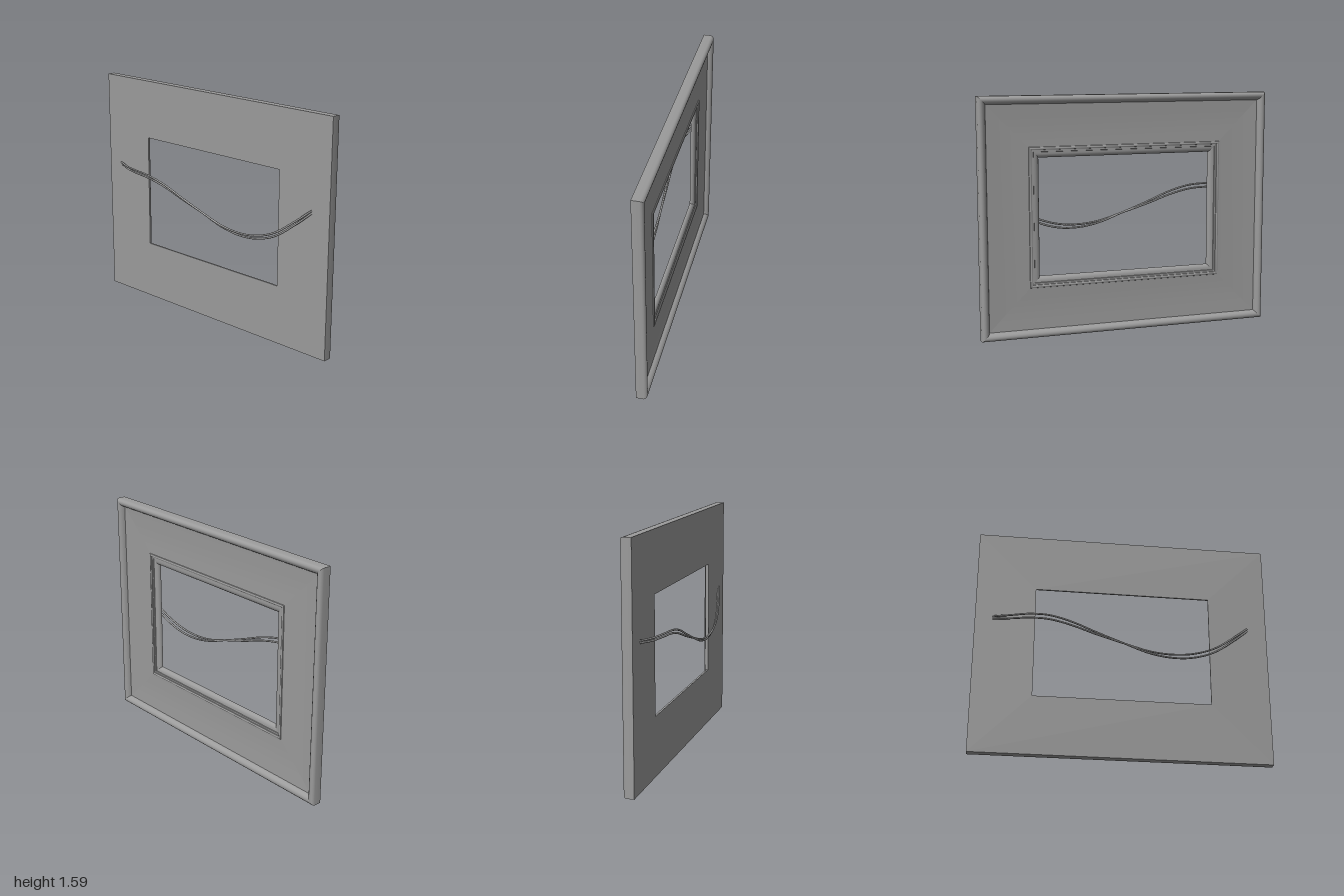
import * as THREE from 'three';
import { toCreasedNormals } from 'three/addons/utils/BufferGeometryUtils.js';

const HEIGHT = 1.59;

// Moulding section: [distance inward from the outer edge, depth x]
const PROFILE = [
  [0, 0.01], [0, 0.062],
  // rounded outer lip
  [0.003, 0.073], [0.011, 0.081], [0.022, 0.084], [0.034, 0.081], [0.044, 0.073], [0.051, 0.061], [0.054, 0.05],
  // gently scooped panel
  [0.12, 0.047], [0.19, 0.045], [0.26, 0.045], [0.331, 0.047],
  // inner bead, groove and sloped rim
  [0.333, 0.052], [0.338, 0.055], [0.344, 0.055], [0.35, 0.051], [0.351, 0.045],
  [0.363, 0.045], [0.365, 0.04], [0.378, 0.04], [0.392, 0.035], [0.4, 0.027], [0.403, 0.018],
  [0.403, 0.01],
];

// Corners of the frame as [sign of z, 0 = bottom / 1 = top]
const CORNERS = [[1, 0], [-1, 0], [-1, 1], [1, 1]];

function cornerPoint([d, x], [sz, top]) {
  return [x, top ? HEIGHT - d : d, sz * (1 - d)];
}

// One solid mitred rail swept between two neighbouring corners
function railGeometry(from, to) {
  const pos = [];
  PROFILE.forEach((p, i) => {
    const q = PROFILE[(i + 1) % PROFILE.length];
    const a = cornerPoint(p, from), b = cornerPoint(p, to);
    const c = cornerPoint(q, to), d = cornerPoint(q, from);
    pos.push(...a, ...b, ...c, ...a, ...c, ...d);
  });
  // Mitre cut faces at both ends
  const outline = PROFILE.map(([d, x]) => new THREE.Vector2(d, x));
  for (const [i, j, k] of THREE.ShapeUtils.triangulateShape(outline, [])) {
    for (const n of [i, j, k]) pos.push(...cornerPoint(PROFILE[n], from));
    for (const n of [k, j, i]) pos.push(...cornerPoint(PROFILE[n], to));
  }
  const geo = new THREE.BufferGeometry();
  geo.setAttribute('position', new THREE.Float32BufferAttribute(pos, 3));
  return toCreasedNormals(geo, 0.6);
}

// Centre line of the slack hanging wire: [x, y, z]
const WIRE = [
  [0.008, 0.968, 0.865], [-0.018, 0.88, 0.76], [-0.043, 0.773, 0.61], [-0.053, 0.722, 0.46],
  [-0.057, 0.711, 0.32], [-0.059, 0.73, 0.17], [-0.061, 0.783, 0], [-0.066, 0.845, -0.19],
  [-0.072, 0.905, -0.36], [-0.076, 0.939, -0.51], [-0.065, 0.946, -0.64],
  [-0.035, 0.945, -0.76], [0.008, 0.952, -0.88],
];

// A strand swings to one side of the centre line, crossing its twin in the middle
function strandGeometry(side) {
  const points = WIRE.map(([x, y, z]) => {
    const swing = side * Math.sin((z / 1.1) * Math.PI);
    return new THREE.Vector3(x - swing * 0.006, y + swing * 0.012, z);
  });
  return new THREE.TubeGeometry(new THREE.CatmullRomCurve3(points), 64, 0.0065, 8, false);
}

export function createModel() {
  const group = new THREE.Group();
  group.name = 'pictureFrame';
  const material = new THREE.MeshStandardMaterial({ color: 0x9b9b9b });
  const wireMaterial = new THREE.MeshStandardMaterial({ color: 0x9b9b9b, side: THREE.DoubleSide });

  const add = (name, geometry, mat) => {
    const mesh = new THREE.Mesh(geometry, mat);
    mesh.name = name;
    group.add(mesh);
  };

  // Four mitred rails
  ['bottomRail', 'rightRail', 'topRail', 'leftRail'].forEach((name, i) => {
    add(name, railGeometry(CORNERS[i], CORNERS[(i + 1) % 4]), material);
  });

  // Two strands of hanging wire on the back
  add('upperWireStrand', strandGeometry(1), wireMaterial);
  add('lowerWireStrand', strandGeometry(-1), wireMaterial);

  return group;
}
